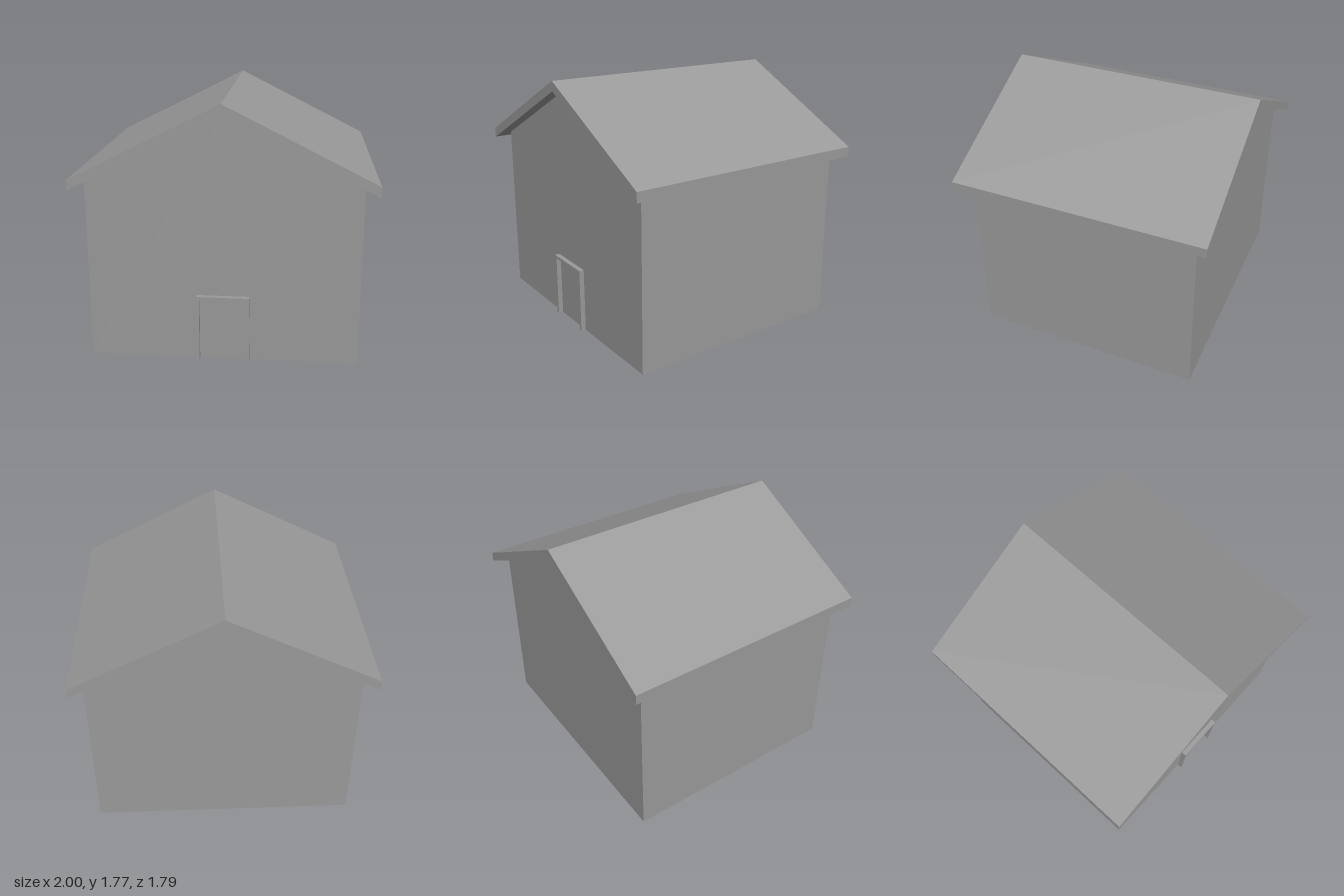
import * as THREE from 'three';

// Extrudes a front outline from z = back to z = front.
function slab(name, points, back, front, material) {
  const shape = new THREE.Shape(points.map(([x, y]) => new THREE.Vector2(x, y)));
  const geometry = new THREE.ExtrudeGeometry(shape, { depth: front - back, bevelEnabled: false });
  geometry.translate(0, 0, back);
  const mesh = new THREE.Mesh(geometry, material);
  mesh.name = name;
  return mesh;
}

export function createModel() {
  const grey = new THREE.MeshStandardMaterial({ color: 0x999999 });
  grey.name = 'plain grey';

  const house = new THREE.Group();
  house.name = 'house';

  const wallX = 0.91, wallZ = 0.805, roofZ = 0.895;
  const eaveY = 1.197, ridgeY = 1.7, thick = 0.07;
  const wallTop = ridgeY - (ridgeY - eaveY) * wallX;

  // Solid body with gabled ends
  house.add(slab('walls', [
    [-wallX, 0], [wallX, 0], [wallX, wallTop], [0, ridgeY], [-wallX, wallTop],
  ], -wallZ, wallZ, grey));

  // Overhanging gable roof with vertical eave edges
  house.add(slab('roof', [
    [-1, eaveY], [0, ridgeY], [1, eaveY],
    [1, eaveY + thick], [0, ridgeY + thick], [-1, eaveY + thick],
  ], -roofZ, roofZ, grey));

  // Door surround standing proud of the front wall
  const outX = 0.18, inX = 0.16, outY = 0.463, inY = 0.443;
  house.add(slab('doorFrame', [
    [-outX, 0], [-inX, 0], [-inX, inY], [inX, inY],
    [inX, 0], [outX, 0], [outX, outY], [-outX, outY],
  ], wallZ, 0.84, grey));

  return house;
}
